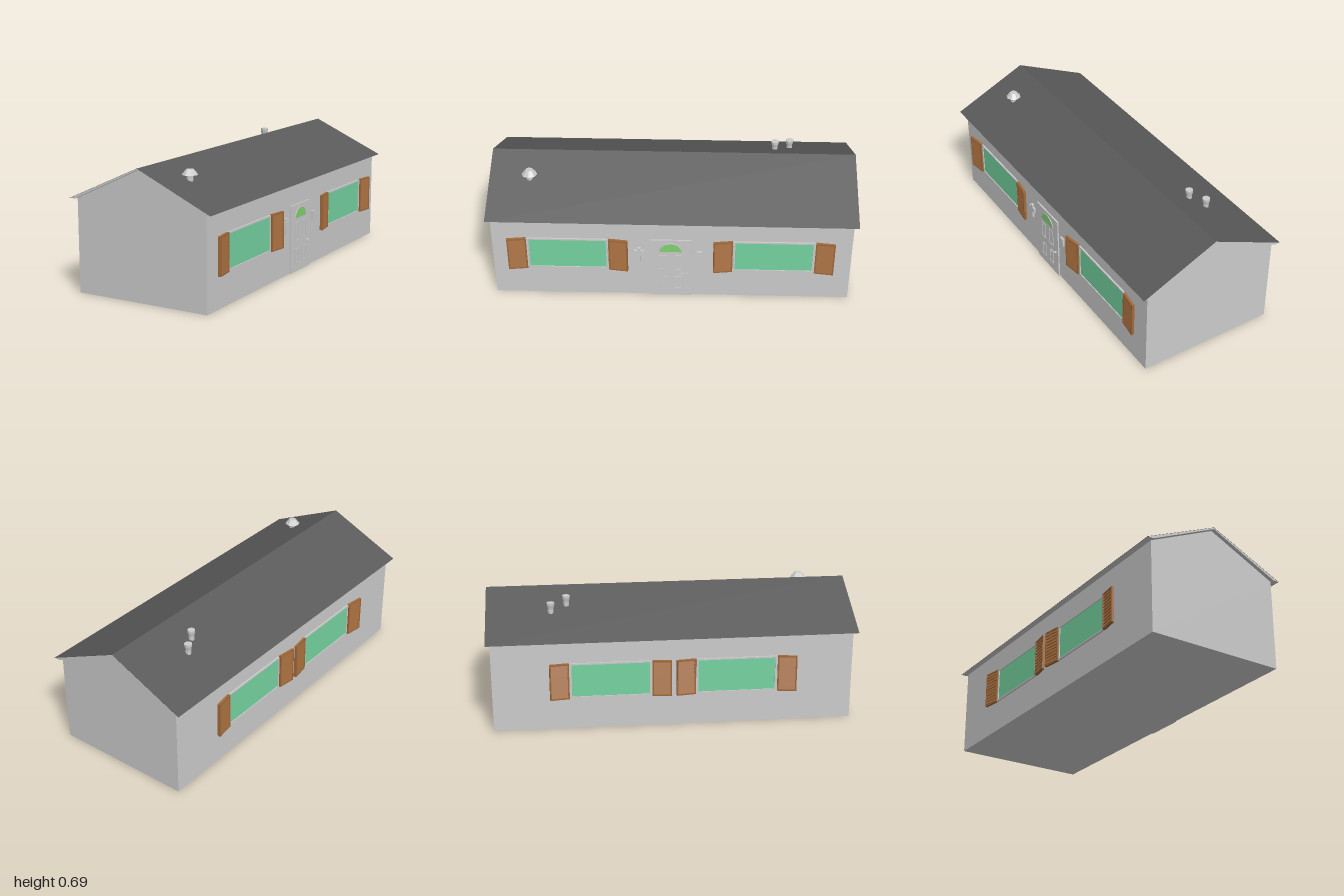
import * as THREE from 'three';

const mat = (color) => new THREE.MeshStandardMaterial({ color, flatShading: true });
const GREY = mat(0xcccccc), ROOF = mat(0x5a5a5a), GLASS = mat(0x76d4a1);
const FAN = mat(0x80d36e), WOOD = mat(0xa0693a);
const WALL_X = 0.387;

function add(parent, name, geo, material, x = 0, y = 0, z = 0) {
  const m = new THREE.Mesh(geo, material);
  m.name = name;
  m.position.set(x, y, z);
  parent.add(m);
  return m;
}
const box = (w, h, d) => new THREE.BoxGeometry(w, h, d);

function extrude(points, depth, hole) {
  const toVec = (p) => new THREE.Vector2(p[0], p[1]);
  const shape = new THREE.Shape(points.map(toVec));
  if (hole) shape.holes.push(new THREE.Path(hole.map(toVec)));
  return new THREE.ExtrudeGeometry(shape, { depth, bevelEnabled: false });
}

// Rectangular border centred on the origin
function border(w, h, t, depth) {
  const rect = (a, b) => [[-a, -b], [a, -b], [a, b], [-a, b]];
  return extrude(rect(w / 2, h / 2), depth, rect(w / 2 - t, h / 2 - t));
}

// Louvred shutter, hinged at x = 0 beside the window and opening toward side * x
function shutter(side) {
  const g = new THREE.Group();
  g.name = 'shutter';
  const w = 0.105, h = 0.203, cx = side * w / 2;
  add(g, 'shutterBack', box(w, h, 0.008), WOOD, cx, 0, 0.004);
  add(g, 'shutterFrame', border(w, h, 0.008, 0.015), WOOD, cx, 0, 0);
  const n = 10, step = (h - 0.016) / n;
  for (let i = 0; i < n; i++) {
    const slat = add(g, 'slat', box(w - 0.014, step * 0.95, 0.004), WOOD,
      cx, -h / 2 + 0.008 + step * (i + 0.5), 0.011);
    slat.rotation.x = -0.3;
  }
  g.rotation.y = -side * 0.13;
  return g;
}

// Window with glass, trim and a pair of shutters
function windowUnit(x) {
  const g = new THREE.Group();
  g.name = 'window';
  g.position.set(x, 0.278, 0);
  add(g, 'glass', box(0.425, 0.186, 0.004), GLASS, 0, 0, 0.002);
  add(g, 'windowTrim', border(0.438, 0.2, 0.009, 0.009), GREY);
  for (const side of [-1, 1]) {
    const s = shutter(side);
    s.position.x = side * 0.225;
    g.add(s);
  }
  return g;
}

function door() {
  const g = new THREE.Group();
  g.name = 'door';
  add(g, 'doorSlab', box(0.225, 0.38, 0.008), GREY, 0, 0.19, 0.004);

  // Half-round fanlight with a raised rim
  const arc = (r) => Array.from({ length: 13 }, (_, i) => {
    const a = Math.PI * i / 12;
    return [r * Math.cos(a), r * 0.87 * Math.sin(a)];
  });
  add(g, 'fanlight', extrude(arc(0.06), 0.002), FAN, 0, 0.303, 0.008);
  const rim = arc(0.066).concat(arc(0.06).reverse());
  add(g, 'fanlightRim', extrude(rim, 0.003), GREY, 0, 0.303, 0.008);

  // Raised panel mouldings
  for (const s of [-1, 1]) {
    add(g, 'upperPanel', border(0.043, 0.1, 0.005, 0.003), GREY, s * 0.041, 0.229, 0.008);
    add(g, 'lowerPanel', border(0.043, 0.08, 0.005, 0.003), GREY, s * 0.041, 0.09, 0.008);
  }

  // Lever handle
  const stem = add(g, 'handleStem', new THREE.CylinderGeometry(0.006, 0.006, 0.01, 8),
    GREY, 0.088, 0.155, 0.013);
  stem.rotation.x = Math.PI / 2;
  add(g, 'handleLever', box(0.04, 0.007, 0.004), GREY, 0.07, 0.155, 0.018);
  return g;
}

// Everything fixed to one long wall: local x runs along it, local z points outward
function facade(side, windowXs) {
  const g = new THREE.Group();
  g.name = side > 0 ? 'leftFacade' : 'rightFacade';
  g.position.x = side * WALL_X;
  g.rotation.y = side * Math.PI / 2;
  windowXs.forEach((x) => g.add(windowUnit(x)));
  return g;
}

// Round roof pipe with a flared rim
function roofPipe(x, top, z) {
  const profile = [[0, -0.12], [0.016, -0.12], [0.016, -0.035], [0.021, -0.012], [0.021, 0], [0, 0]]
    .map((p) => new THREE.Vector2(p[0], p[1]));
  return [new THREE.LatheGeometry(profile, 10), x, top, z];
}

export function createModel() {
  const house = new THREE.Group();
  house.name = 'house';

  // Walls with gable ends
  const walls = [[-WALL_X, 0], [WALL_X, 0], [WALL_X, 0.504], [0, 0.687], [-WALL_X, 0.504]];
  add(house, 'walls', extrude(walls, 1.954), GREY, 0, 0, -0.977);

  // Thin pitched roof overhanging on every side: dark top, grey underside and ends
  const roof = [[0.422, 0.503], [0, 0.694], [-0.422, 0.503], [-0.387, 0.503], [0, 0.686], [0.387, 0.503]];
  add(house, 'roofDeck', extrude(roof, 1.998), GREY, 0, 0, -0.999);
  const skin = [[0.423, 0.503], [0, 0.695], [-0.423, 0.503], [-0.421, 0.503], [0, 0.694], [0.421, 0.503]];
  add(house, 'roofCovering', extrude(skin, 2), ROOF, 0, 0, -1);

  // Windows, door and small fittings on the entrance side
  const entrance = facade(1, [-0.566, 0.556]);
  const d = door();
  d.position.x = -0.005;
  entrance.add(d);
  add(entrance, 'lanternBracket', box(0.018, 0.09, 0.012), GREY, -0.177, 0.28, 0.006);
  add(entrance, 'lanternArm', box(0.055, 0.025, 0.012), GREY, -0.177, 0.295, 0.007);
  add(entrance, 'mailbox', box(0.03, 0.05, 0.012), GREY, 0.155, 0.28, 0.006);
  house.add(entrance, facade(-1, [-0.341, 0.341]));

  // Roof pipes
  for (const [geo, x, y, z] of [roofPipe(-0.197, 0.659, -0.65), roofPipe(-0.148, 0.68, -0.565)]) {
    add(house, 'roofPipe', geo, GREY, x, y, z);
  }

  // Capped vent
  const vent = new THREE.Group();
  vent.name = 'roofVent';
  vent.position.set(0.168, 0, 0.78);
  add(vent, 'ventShaft', new THREE.CylinderGeometry(0.018, 0.018, 0.085, 8), GREY, 0, 0.607, 0);
  add(vent, 'ventCap', new THREE.CylinderGeometry(0.02, 0.043, 0.028, 8), GREY, 0, 0.659, 0);
  house.add(vent);

  return house;
}
